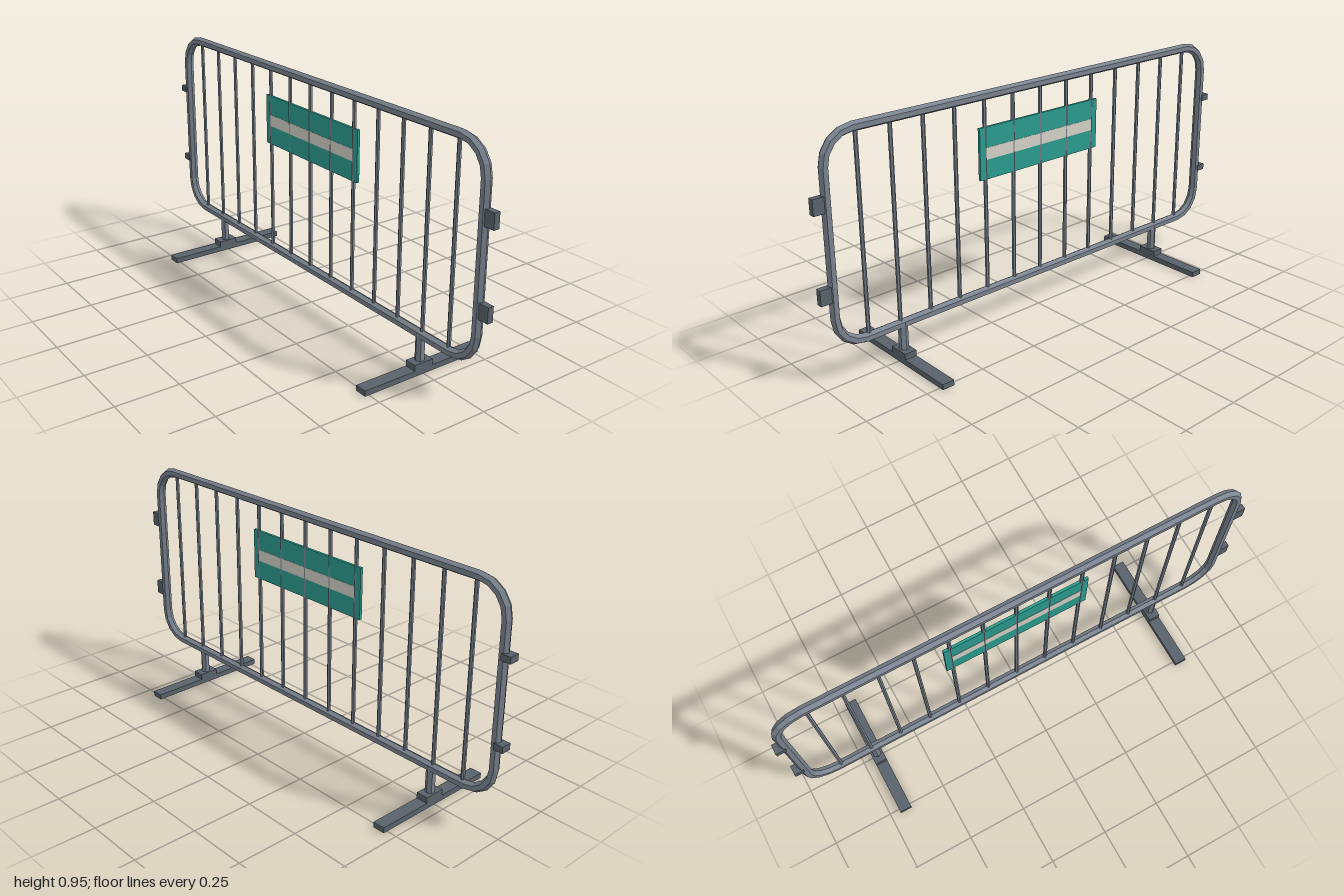
import * as THREE from 'three';

const steel = new THREE.MeshStandardMaterial({ color: 0x7b8490, flatShading: true });
steel.name = 'galvanised steel';
const darkSteel = new THREE.MeshStandardMaterial({ color: 0x59636c, flatShading: true });
darkSteel.name = 'dark steel';
const teal = new THREE.MeshStandardMaterial({ color: 0x2a9d8f, flatShading: true });
teal.name = 'teal panel';
const pale = new THREE.MeshStandardMaterial({ color: 0xd6d2c8, flatShading: true });
pale.name = 'pale stripe';

const CX = -0.007; // centre of the fence body, hooks make it slightly lopsided

// Closed rounded-rectangle tube with a hexagonal section, one point of the hexagon facing outward
function frameGeometry(halfW, y0, y1, radius, tube, steps) {
  const sides = 6, pos = [], index = [];
  const corners = [[1, 1], [-1, 1], [-1, -1], [1, -1]];
  const midY = (y0 + y1) / 2, halfH = (y1 - y0) / 2;
  corners.forEach(([sx, sy], c) => {
    for (let i = 0; i <= steps; i++) {
      const a = (c + i / steps) * Math.PI / 2;
      for (let s = 0; s < sides; s++) {
        const t = s / sides * Math.PI * 2;
        const r = radius + Math.cos(t) * tube;
        pos.push(sx * (halfW - radius) + Math.cos(a) * r,
          midY + sy * (halfH - radius) + Math.sin(a) * r, Math.sin(t) * tube);
      }
    }
  });
  const rings = pos.length / 3 / sides;
  for (let k = 0; k < rings; k++) {
    for (let s = 0; s < sides; s++) {
      const n = ((k + 1) % rings) * sides, m = k * sides, s1 = (s + 1) % sides;
      index.push(m + s, n + s, n + s1, m + s, n + s1, m + s1);
    }
  }
  const g = new THREE.BufferGeometry();
  g.setAttribute('position', new THREE.Float32BufferAttribute(pos, 3));
  g.setIndex(index);
  g.computeVertexNormals();
  return g;
}

export function createModel() {
  const model = new THREE.Group();
  model.name = 'crowdBarrier';

  const add = (name, geometry, material, x, y, z = 0) => {
    const mesh = new THREE.Mesh(geometry, material);
    mesh.name = name;
    mesh.position.set(x, y, z);
    model.add(mesh);
    return mesh;
  };
  const box = (name, material, w, h, d, x, y) =>
    add(name, new THREE.BoxGeometry(w, h, d), material, x, y);

  // Outer frame
  add('frame', frameGeometry(0.951, 0.15, 0.935, 0.115, 0.019, 4), steel, CX, 0);

  // Upright bars
  const barGeometry = new THREE.CylinderGeometry(0.008, 0.008, 0.785, 6);
  for (let i = -6; i <= 6; i++) add('bar', barGeometry, steel, CX + i * 0.137, 0.5425);

  // Sign panel held between the bars, stripe showing on both faces
  box('signPanel', teal, 0.603, 0.204, 0.011, CX, 0.712);
  for (const side of [1, -1]) {
    const stripe = box('signStripe', pale, 0.548, 0.047, 0.001, CX, 0.711);
    stripe.position.z = side * 0.006;
  }

  // Feet: stem, socket block and ground bar
  for (const side of [1, -1]) {
    const x = CX + side * 0.676;
    add('footStem', new THREE.CylinderGeometry(0.0185, 0.0185, 0.115, 6), steel, x, 0.0975);
    box('footSocket', darkSteel, 0.05, 0.025, 0.084, x, 0.0335);
    box('footBar', darkSteel, 0.05, 0.022, 0.536, x, 0.011);
  }

  // Coupling brackets: flat eyes on one end, upright hooks on the other
  for (const y of [0.694, 0.364]) {
    box('couplingEye', darkSteel, 0.04, 0.026, 0.041, -0.98, y);
    box('couplingHook', darkSteel, 0.048, 0.06, 0.024, 0.976, y);
  }

  return model;
}
